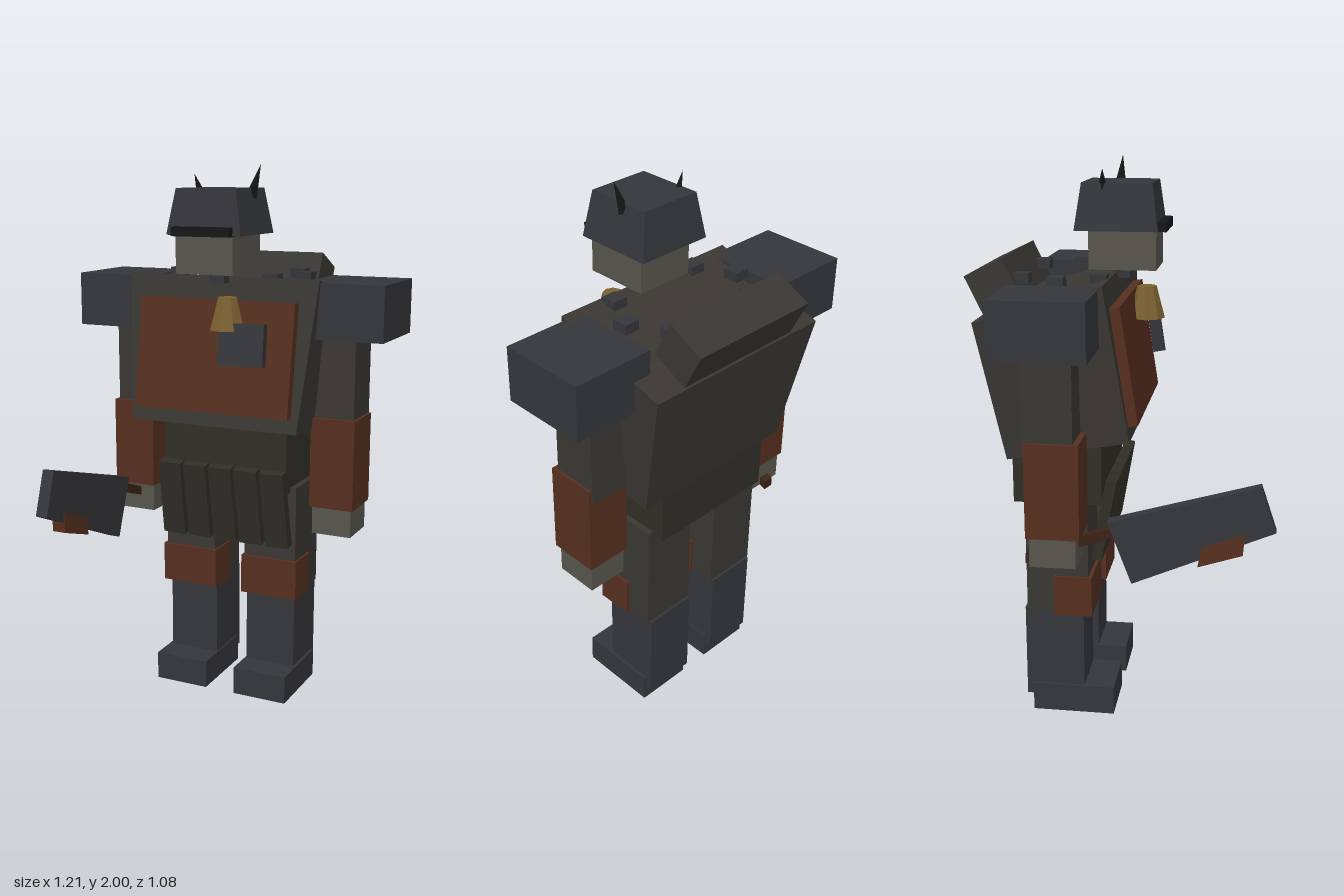
import * as THREE from 'three';

const mat = (color) => new THREE.MeshStandardMaterial({ color, flatShading: true });
const M = {
  iron: mat(0x35363a), dark: mat(0x161616), cloth: mat(0x3a3733), olive: mat(0x2f2e26),
  leather: mat(0x562f1f), skin: mat(0x57554c), brass: mat(0x7a6030), grip: mat(0x3a2216),
};

export function createModel() {
  const root = new THREE.Group();

  const add = (name, geo, material, pos = [0, 0, 0], rot = [0, 0, 0]) => {
    const mesh = new THREE.Mesh(geo, material);
    mesh.name = name;
    mesh.position.set(...pos);
    mesh.rotation.set(...rot);
    root.add(mesh);
    return mesh;
  };
  // Box given by its ranges on x, y and z
  const span = (name, material, [x0, x1], [y0, y1], [z0, z1]) =>
    add(name, new THREE.BoxGeometry(x1 - x0, y1 - y0, z1 - z0), material,
      [(x0 + x1) / 2, (y0 + y1) / 2, (z0 + z1) / 2]);
  // Six-sided block: each end has a half width and [y, z] of its front and back edges
  const block = (name, material, bottom, top) => {
    const geo = new THREE.BoxGeometry(2, 2, 2);
    const p = geo.attributes.position;
    for (let i = 0; i < p.count; i++) {
      const end = p.getY(i) > 0 ? top : bottom;
      const [y, z] = p.getZ(i) > 0 ? end.front : end.back;
      p.setXYZ(i, Math.sign(p.getX(i)) * end.half, y, z);
    }
    geo.computeVertexNormals();
    return add(name, geo, material);
  };
  // Flat plate cut from a [z, y] outline, centred on x
  const plate = (name, material, outline, x, thick) => {
    const shape = new THREE.Shape(outline.map(([z, y]) => new THREE.Vector2(-z, y)));
    const geo = new THREE.ExtrudeGeometry(shape, { depth: thick, bevelEnabled: false });
    geo.translate(0, 0, -thick / 2);
    return add(name, geo, material, [x, 0, 0], [0, Math.PI / 2, 0]);
  };

  // Head, helmet and visor
  span('head', M.skin, [-0.11, 0.11], [1.625, 1.78], [-0.135, 0.1]);
  block('helmet', M.iron,
    { half: 0.143, front: [1.76, 0.108], back: [1.76, -0.18] },
    { half: 0.115, front: [1.92, 0.087], back: [1.92, -0.157] });
  span('visor', M.dark, [-0.112, 0.112], [1.757, 1.79], [0.08, 0.135]);

  // Helmet horns
  const horn = (base, tip, r) => {
    const a = new THREE.Vector3(...base), b = new THREE.Vector3(...tip);
    const dir = b.clone().sub(a);
    const mesh = add('horn', new THREE.ConeGeometry(r, dir.length(), 4), M.dark,
      a.clone().add(b).multiplyScalar(0.5).toArray());
    mesh.quaternion.setFromUnitVectors(new THREE.Vector3(0, 1, 0), dir.normalize());
  };
  horn([0.11, 1.89, -0.055], [0.148, 2.0, -0.05], 0.022);
  horn([-0.1, 1.89, -0.085], [-0.127, 1.968, -0.082], 0.02);

  // Leaning torso, breastplate and back roll
  block('torso', M.cloth,
    { half: 0.33, front: [1.07, 0.037], back: [0.995, -0.39] },
    { half: 0.375, front: [1.61, -0.047], back: [1.48, -0.485] });
  add('breastplate', new THREE.BoxGeometry(0.61, 0.41, 0.045), M.leather, [0, 1.325, 0.01], [-0.155, 0, 0]);
  add('backRoll', new THREE.BoxGeometry(0.5, 0.147, 0.147), M.cloth, [0, 1.58, -0.442], [-0.45, 0, 0]);

  // Ring of studs around the neck
  for (let i = 0; i < 8; i++) {
    const a = (i * Math.PI) / 4;
    add('neckStud', new THREE.BoxGeometry(0.058, 0.035, 0.058), M.iron,
      [Math.sin(a) * 0.256, 1.604, -0.22 + Math.cos(a) * 0.19]);
  }

  // Chest trinkets
  add('bell', new THREE.CylinderGeometry(0.035, 0.065, 0.115, 8), M.brass, [0.067, 1.488, 0.048]);
  add('pouch', new THREE.BoxGeometry(0.165, 0.15, 0.045), M.iron, [0.135, 1.383, 0.073], [-0.15, 0.15, 0.03]);

  // Hips and apron strips
  span('hips', M.olive, [-0.25, 0.25], [0.812, 1.06], [-0.39, -0.072]);
  for (let i = -2; i <= 2; i++) {
    add('apronStrip', new THREE.BoxGeometry(0.092, 0.3, 0.038), M.olive,
      [i * 0.106, 0.755, -0.065], [0.18, 0, i * 0.012]);
  }

  // Arms and legs, mirrored
  for (const s of [1, -1]) {
    const side = (name, m, [a, b], y, z) => span(name, m, s > 0 ? [a, b] : [-b, -a], y, z);
    side('shoulder', M.iron, [0.305, 0.607], [1.4, 1.598], [-0.38, -0.06]);
    side('upperArm', M.cloth, [0.33, 0.485], [1.05, 1.45], [-0.3, -0.13]);
    side('forearmGuard', M.leather, [0.328, 0.495], [0.77, 1.105], [-0.295, -0.11]);
    side('hand', M.skin, [0.335, 0.485], [0.665, 0.78], [-0.285, -0.125]);
    side('thigh', M.cloth, [0.063, 0.272], [0.4, 0.83], [-0.345, -0.12]);
    side('kneePad', M.leather, [0.055, 0.28], [0.393, 0.543], [-0.245, -0.107]);
    side('shin', M.iron, [0.065, 0.263], [0.06, 0.41], [-0.355, -0.14]);
    side('boot', M.iron, [0.06, 0.273], [0, 0.107], [-0.33, -0.03]);
  }

  // Cleaver in the right hand
  plate('blade', M.iron, [[0.49, 0.967], [0.543, 0.81], [0.058, 0.6], [-0.025, 0.82]], -0.411, 0.045);
  plate('bladeInlay', M.leather, [[0.44, 0.8], [0.297, 0.745], [0.283, 0.675], [0.435, 0.725]], -0.411, 0.052);
  plate('handle', M.grip, [[0.05, 0.82], [0.05, 0.785], [-0.31, 0.655], [-0.31, 0.69]], -0.411, 0.04);

  return root;
}
